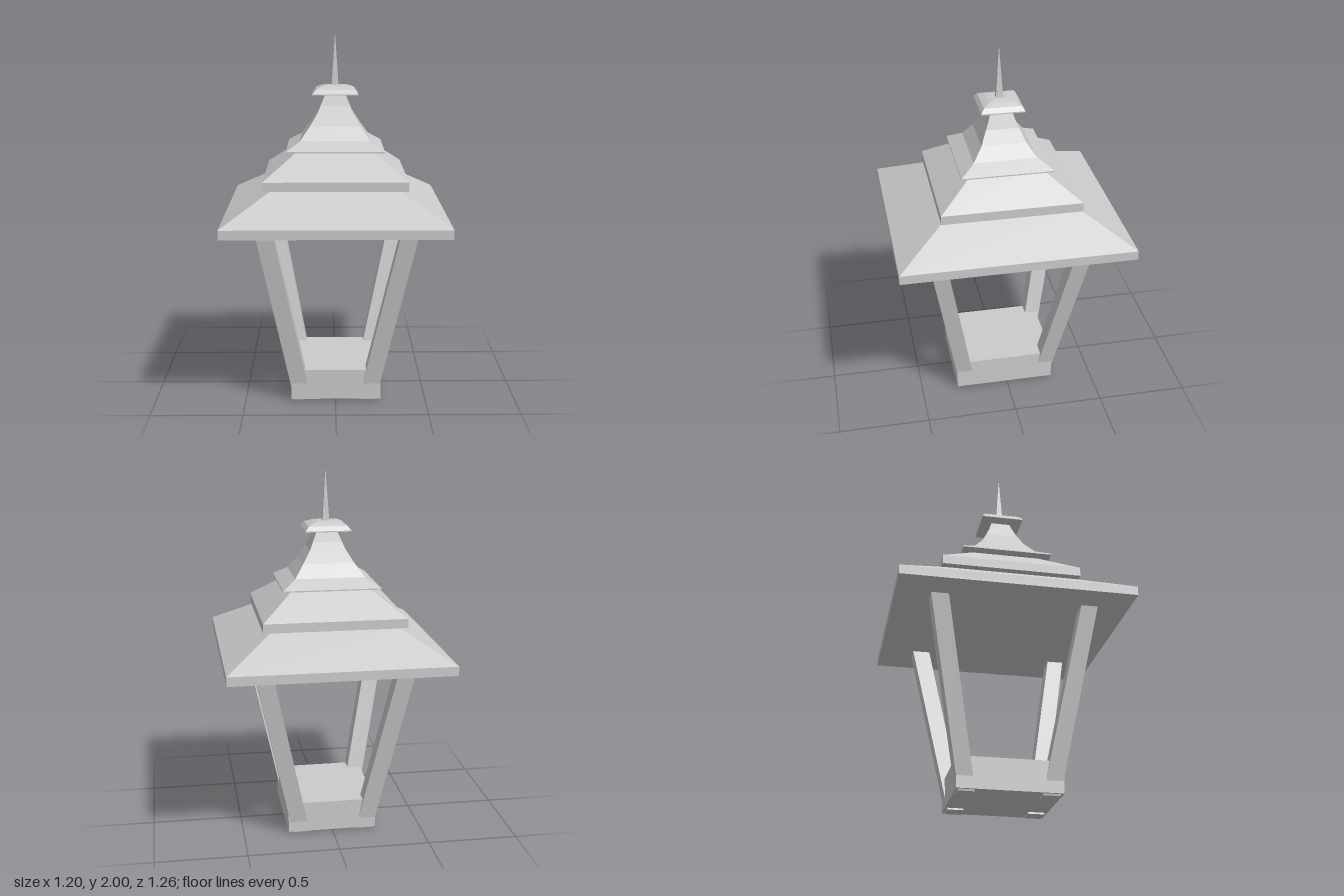
import * as THREE from 'three';

const material = new THREE.MeshStandardMaterial({ color: 0xcccccc, flatShading: true });

// Closed solid through rectangular sections [y, xMin, xMax, zMin, zMax], bottom to top
function loft(name, sections) {
  const positions = [];
  const rings = sections.map(([y, x0, x1, z0, z1]) => [[x0, y, z1], [x1, y, z1], [x1, y, z0], [x0, y, z0]]);
  const quad = (a, b, c, d) => positions.push(...a, ...b, ...c, ...a, ...c, ...d);
  for (let s = 0; s < rings.length - 1; s++) {
    const lo = rings[s], hi = rings[s + 1];
    for (let i = 0; i < 4; i++) {
      const j = (i + 1) % 4;
      quad(lo[i], lo[j], hi[j], hi[i]);
    }
  }
  const [a, b, c, d] = rings[0];
  quad(d, c, b, a);
  quad(...rings[rings.length - 1]);
  const geometry = new THREE.BufferGeometry();
  geometry.setAttribute('position', new THREE.Float32BufferAttribute(positions, 3));
  geometry.computeVertexNormals();
  const mesh = new THREE.Mesh(geometry, material);
  mesh.name = name;
  return mesh;
}

// Centred loft from [y, halfX, halfZ]
const tier = (name, levels) => loft(name, levels.map(([y, x, z]) => [y, -x, x, -z, z]));

export function createModel() {
  const group = new THREE.Group();
  group.name = 'lantern';

  // Base block, set slightly forward
  group.add(loft('base', [[0.01, -0.245, 0.25, -0.265, 0.295], [0.18, -0.245, 0.25, -0.265, 0.295]]));

  // Four posts leaning outwards from the base to the roof
  const xSides = { Right: [[-0.23, -0.135], [-0.43, -0.335]], Left: [[0.13, 0.225], [0.35, 0.445]] };
  const zSides = { front: [[0.187, 0.277], [0.37, 0.46]], back: [[-0.252, -0.165], [-0.445, -0.35]] };
  for (const [xName, [xLow, xHigh]] of Object.entries(xSides)) {
    for (const [zName, [zLow, zHigh]] of Object.entries(zSides)) {
      group.add(loft(zName + xName + 'Post', [[0, ...xLow, ...zLow], [1.01, ...xHigh, ...zHigh]]));
    }
  }

  // Stacked roof
  group.add(tier('lowerRoof', [[1, 0.6, 0.63], [1.05, 0.6, 0.63], [1.2, 0.345, 0.36]]));
  group.add(tier('middleRoof', [[1.2, 0.387, 0.38], [1.25, 0.387, 0.38], [1.39, 0.2, 0.18]]));
  group.add(tier('upperRoof', [
    [1.385, 0.265, 0.25], [1.392, 0.265, 0.25], [1.44, 0.19, 0.173],
    [1.51, 0.14, 0.121], [1.58, 0.097, 0.09], [1.62, 0.08, 0.073], [1.69, 0.05, 0.05],
  ]));

  // Cap and pointed finial
  group.add(tier('cap', [
    [1.68, 0.125, 0.118], [1.686, 0.125, 0.118], [1.71, 0.105, 0.1], [1.723, 0.075, 0.07], [1.73, 0.045, 0.04],
  ]));
  group.add(tier('spire', [[1.725, 0.019, 0.02], [2, 0.001, 0.001]]));

  return group;
}
